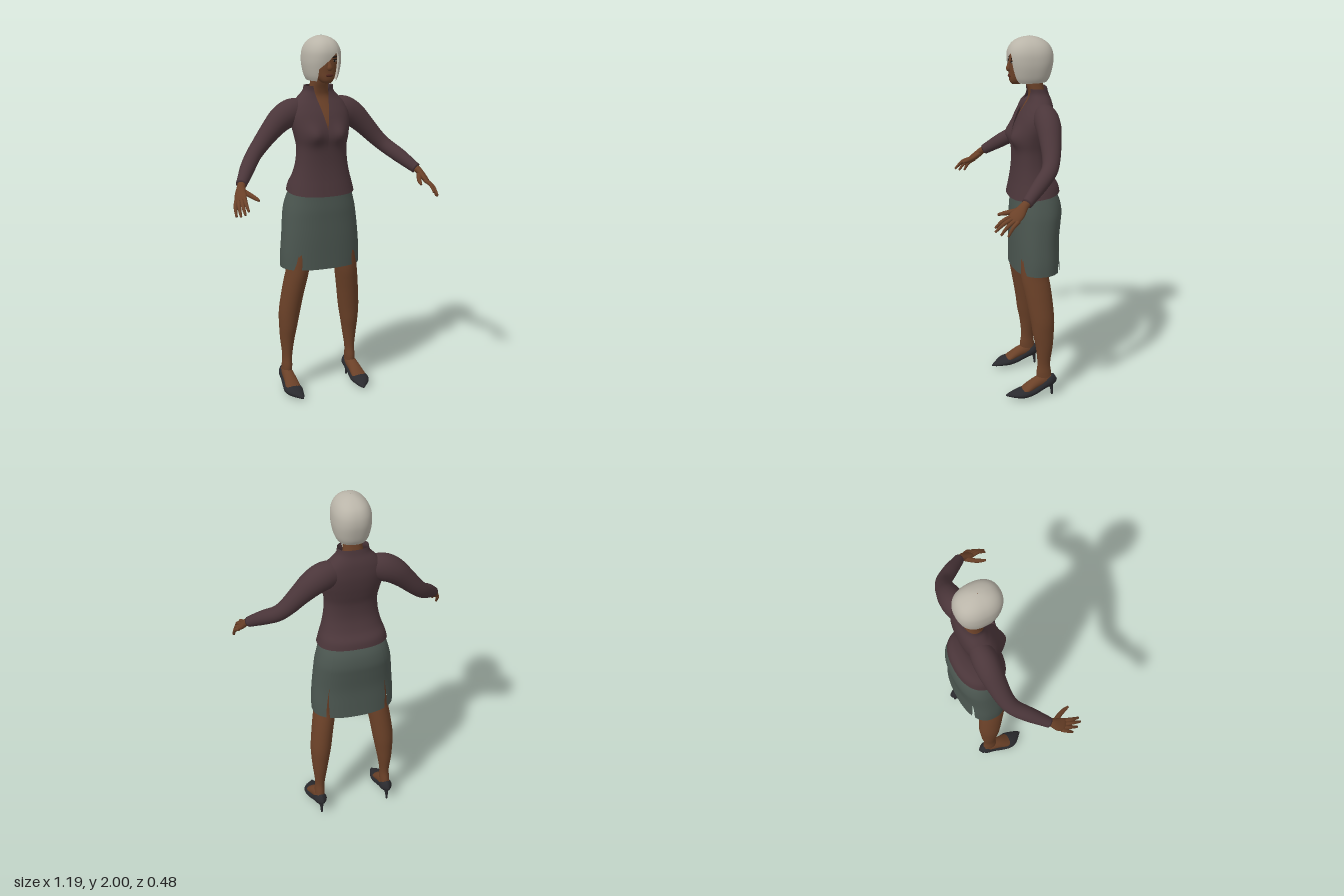
import * as THREE from 'three';

const material = (name, color, side = THREE.FrontSide) => {
  const m = new THREE.MeshStandardMaterial({ color, side });
  m.name = name;
  return m;
};

// Catmull-Rom refinement of rows of numbers
function smooth(rows, k = 4) {
  const out = [];
  for (let i = 0; i < rows.length - 1; i++) {
    const a = rows[Math.max(i - 1, 0)], b = rows[i], c = rows[i + 1], d = rows[Math.min(i + 2, rows.length - 1)];
    for (let s = 0; s < k; s++) {
      const t = s / k;
      out.push(b.map((v, j) => {
        const cubic = 3 * (v - c[j]) + d[j] - a[j];
        const square = 2 * a[j] - 5 * v + 4 * c[j] - d[j];
        return v + 0.5 * t * (c[j] - a[j] + t * (square + t * cubic));
      }));
    }
  }
  out.push(rows[rows.length - 1]);
  return out;
}

// Surface through rings of points; closed rings are capped at both ends
function skinRings(rings, closed) {
  const n = rings[0].length, pos = rings.flat().flatMap(p => [p.x, p.y, p.z]), index = [];
  const last = rings.length - 1;
  for (let i = 0; i < last; i++) {
    for (let j = 0; j < (closed ? n : n - 1); j++) {
      const a = i * n + j, b = i * n + (j + 1) % n;
      index.push(a, b, a + n, b, b + n, a + n);
    }
  }
  if (closed) {
    for (const [i, flip] of [[0, true], [last, false]]) {
      const c = rings[i].reduce((s, p) => s.add(p), new THREE.Vector3()).divideScalar(n);
      const ci = pos.length / 3;
      pos.push(c.x, c.y, c.z);
      for (let j = 0; j < n; j++) {
        const a = i * n + j, b = i * n + (j + 1) % n;
        index.push(...(flip ? [ci, b, a] : [ci, a, b]));
      }
    }
  }
  const g = new THREE.BufferGeometry();
  g.setAttribute('position', new THREE.Float32BufferAttribute(pos, 3));
  g.setIndex(index);
  g.computeVertexNormals();
  return g;
}

// Tapering limb; rows are [x, y, z, radius across, radius along ref]
function limb(rows, side = 1, ref = [0, 0, 1], n = 18) {
  const r = smooth(rows), at = i => new THREE.Vector3(r[i][0] * side, r[i][1], r[i][2]);
  const up = new THREE.Vector3(ref[0] * side, ref[1], ref[2]);
  return skinRings(r.map((row, i) => {
    const t = at(Math.min(i + 1, r.length - 1)).sub(at(Math.max(i - 1, 0))).normalize();
    const u = t.clone().cross(up).normalize(), v = t.clone().cross(u);
    return Array.from({ length: n }, (_, j) => {
      const a = j / n * Math.PI * 2;
      return at(i).addScaledVector(u, Math.cos(a) * row[3]).addScaledVector(v, Math.sin(a) * row[4]);
    });
  }), true);
}

// Horizontal sections [y, half width, z front, z back]; span gives the start and end angle of an open section
const ROUND = 0.85;
function sections(rows, { span, bend, n = 48 } = {}) {
  const rings = smooth(rows).map(([y, w, zf, zb]) => {
    const [a0, a1] = span ? span(y, w) : [0, Math.PI * 2];
    return Array.from({ length: n }, (_, j) => {
      const a = a0 + (a1 - a0) * j / (span ? n - 1 : n);
      const c = Math.cos(a), s = Math.sin(a);
      const x = w * Math.sign(c) * Math.abs(c) ** ROUND;
      const z = (zf + zb) / 2 - (zf - zb) / 2 * Math.sign(s) * Math.abs(s) ** ROUND;
      const p = new THREE.Vector3(x, y, z);
      if (bend) bend(p);
      return p;
    });
  });
  return skinRings(rings, !span);
}

// Angles that leave the front open between two x positions
function frontGap(x0, x1, w) {
  const d = x => Math.sign(x) * Math.asin(Math.min(Math.abs(x) / w, 0.9) ** (1 / ROUND));
  return [Math.PI * 1.5 + d(x1), Math.PI * 3.5 + d(x0)];
}

export function createModel() {
  const model = new THREE.Group();
  model.name = 'woman';
  const skin = material('brown skin', 0x6b4128);
  const jacketCloth = material('plum cloth', 0x4b363a, THREE.DoubleSide);
  const skirtCloth = material('grey green cloth', 0x4b5650, THREE.DoubleSide);
  const hairMat = material('silver hair', 0xbab5a9, THREE.DoubleSide);
  const leather = material('black leather', 0x2a2a2e);
  const lipMat = material('dark lips', 0x54291f);
  const eyeWhite = material('eye white', 0xa09a90);
  const dark = material('dark brown', 0x1a1311);
  const add = (name, geometry, mat, parent = model) => {
    const m = new THREE.Mesh(geometry, mat);
    m.name = name;
    parent.add(m);
    return m;
  };

  // Neck and chest under the open neckline
  add('neckAndChest', sections([
    [1.46, 0.1, 0.0, -0.14], [1.52, 0.1, 0.0, -0.15], [1.57, 0.1, -0.018, -0.16], [1.62, 0.085, -0.045, -0.16],
    [1.67, 0.062, -0.07, -0.157], [1.71, 0.052, -0.068, -0.152], [1.76, 0.047, -0.055, -0.145], [1.84, 0.045, -0.05, -0.14],
  ]), skin);

  // Fitted jacket with a narrow V neckline, bust and a hem that rises at the back
  add('jacket', sections([
    [1.155, 0.19, 0.045, -0.232], [1.2, 0.179, 0.035, -0.222], [1.25, 0.162, 0.025, -0.19], [1.32, 0.147, 0.018, -0.165],
    [1.4, 0.142, 0.018, -0.162], [1.46, 0.152, 0.025, -0.175], [1.52, 0.164, 0.015, -0.188], [1.58, 0.167, -0.006, -0.195],
    [1.63, 0.15, -0.033, -0.192], [1.665, 0.12, -0.053, -0.185], [1.7, 0.088, -0.063, -0.172], [1.73, 0.082, -0.06, -0.165],
  ], {
    n: 65,
    span: (y, w) => { const v = Math.max(0, y - 1.5) * 0.21; return frontGap(-v, v, w); },
    bend: p => {
      const bx = (Math.abs(p.x) - 0.075) / 0.045, by = (p.y - 1.475) / 0.05;
      if (p.z > -0.07) p.z += 0.026 * Math.exp(-bx * bx - by * by);
      p.y -= (p.z + 0.1) * 0.12 * Math.max(0, 1.25 - p.y) / 0.1;
    },
  }), jacketCloth);

  // Pencil skirt in two panels that part in slits at the back corners
  const skirtRows = [
    [0.727, 0.228, 0.03, -0.233], [0.8, 0.229, 0.03, -0.23], [0.9, 0.222, 0.03, -0.228], [1.0, 0.213, 0.028, -0.238],
    [1.06, 0.205, 0.027, -0.243], [1.12, 0.19, 0.022, -0.232], [1.17, 0.174, 0.018, -0.205], [1.2, 0.163, 0.01, -0.185],
  ];
  const SLIT = 0.84;
  const slit = y => Math.max(0, 0.92 - y) * 0.45;
  add('skirtFront', sections(skirtRows, { span: y => [Math.PI - SLIT + slit(y), Math.PI * 2 + SLIT - slit(y)] }), skirtCloth);
  add('skirtBack', sections(skirtRows, { n: 24, span: y => [SLIT + slit(y) * 0.4, Math.PI - SLIT - slit(y) * 0.4] }), skirtCloth);

  // Head with nose, lips, eyes and brows
  const head = new THREE.Group();
  head.name = 'head';
  model.add(head);
  add('face', sections([
    [1.752, 0.02, 0.022, -0.03], [1.765, 0.036, 0.032, -0.06], [1.785, 0.05, 0.036, -0.1], [1.81, 0.06, 0.036, -0.13],
    [1.84, 0.068, 0.037, -0.16], [1.88, 0.073, 0.034, -0.17], [1.93, 0.068, 0.024, -0.165], [1.965, 0.045, -0.01, -0.13],
  ]), skin, head);
  add('nose', limb([
    [0, 1.882, 0.03, 0.007, 0.006], [0, 1.855, 0.036, 0.009, 0.009], [0, 1.833, 0.041, 0.015, 0.012], [0, 1.822, 0.034, 0.009, 0.007],
  ]), skin, head);
  const blob = (name, mat, x, y, z, sx, sy, sz) => {
    const m = add(name, new THREE.SphereGeometry(1, 16, 10), mat, head);
    m.position.set(x, y, z);
    m.scale.set(sx, sy, sz);
    return m;
  };
  blob('lips', lipMat, 0, 1.795, 0.034, 0.021, 0.009, 0.008);
  for (const s of [1, -1]) {
    blob('eye', eyeWhite, s * 0.031, 1.87, 0.028, 0.013, 0.006, 0.005);
    blob('iris', dark, s * 0.031, 1.87, 0.031, 0.006, 0.006, 0.004);
    blob('eyelid', dark, s * 0.031, 1.876, 0.029, 0.015, 0.003, 0.006);
    blob('brow', dark, s * 0.032, 1.89, 0.028, 0.016, 0.004, 0.005).rotation.z = s * 0.12;
  }

  // Chin-length bob, parted on the left with a fringe swept to the right
  add('hair', sections([
    [1.762, 0.076, 0.015, -0.166], [1.79, 0.088, 0.028, -0.182], [1.84, 0.098, 0.04, -0.195], [1.88, 0.1, 0.046, -0.2],
    [1.92, 0.096, 0.045, -0.195], [1.955, 0.081, 0.03, -0.177], [1.98, 0.057, 0.003, -0.145], [1.995, 0.027, -0.035, -0.108],
    [2.0, 0.002, -0.073, -0.077],
  ], {
    n: 65,
    span: (y, w) => {
      const drop = Math.max(0, 1.92 - y), part = Math.min(0.045, w * 0.5);
      return frontGap(Math.max(-0.055, part - drop * 1.1), Math.min(0.056, part + drop * 0.4), w);
    },
  }), hairMat, head);

  for (const s of [1, -1]) {
    const label = s > 0 ? 'left' : 'right';

    // Sleeve, bent forward at the elbow
    add(label + 'Sleeve', limb([
      [0.08, 1.6, -0.125, 0.06, 0.05], [0.15, 1.588, -0.125, 0.075, 0.065], [0.215, 1.555, -0.125, 0.07, 0.065],
      [0.28, 1.495, -0.118, 0.057, 0.056], [0.345, 1.425, -0.105, 0.047, 0.047], [0.395, 1.375, -0.08, 0.042, 0.042],
      [0.45, 1.325, -0.02, 0.04, 0.039], [0.49, 1.285, 0.03, 0.034, 0.033], [0.519, 1.256, 0.065, 0.029, 0.028],
    ], s, undefined, 24), jacketCloth);

    // Hand with spread fingers
    const hand = new THREE.Group();
    hand.name = label + 'Hand';
    model.add(hand);
    add('palm', limb([
      [0.51, 1.265, 0.055, 0.021, 0.022], [0.527, 1.245, 0.083, 0.019, 0.024], [0.54, 1.217, 0.11, 0.017, 0.034],
      [0.547, 1.198, 0.133, 0.014, 0.035], [0.551, 1.188, 0.146, 0.009, 0.028],
    ], s, [0.6, -0.3, -0.6]), skin, hand);
    const tips = [[0.54, 1.15, 0.232], [0.56, 1.135, 0.236], [0.575, 1.121, 0.21], [0.587, 1.115, 0.176]];
    tips.forEach((tip, i) => {
      const root = [0.53 + i * 0.0125, 1.202 - i * 0.006, 0.145 - i * 0.009];
      const mid = root.map((v, k) => (v + tip[k]) / 2 + [0.006, 0.009, 0.004][k]);
      add('finger', limb([[...root, 0.011, 0.011], [...mid, 0.01, 0.01], [...tip, 0.006, 0.006]], s, [1, 0, 0], 10), skin, hand);
    });
    add('thumb', limb([
      [0.525, 1.232, 0.095, 0.016, 0.014], [0.497, 1.213, 0.14, 0.013, 0.013],
      [0.482, 1.203, 0.175, 0.011, 0.011], [0.474, 1.196, 0.205, 0.006, 0.006],
    ], s, [0, 1, 0], 10), skin, hand);

    // Leg from hip to ankle, and foot
    add(label + 'Leg', limb([
      [0.12, 1.0, -0.1, 0.075, 0.09], [0.13, 0.85, -0.08, 0.072, 0.088], [0.146, 0.72, -0.072, 0.062, 0.078],
      [0.159, 0.64, -0.083, 0.061, 0.075], [0.17, 0.57, -0.094, 0.06, 0.072], [0.184, 0.46, -0.108, 0.058, 0.066],
      [0.19, 0.38, -0.112, 0.05, 0.059], [0.194, 0.3, -0.117, 0.04, 0.048], [0.196, 0.2, -0.115, 0.027, 0.036],
      [0.198, 0.14, -0.115, 0.028, 0.042], [0.2, 0.09, -0.12, 0.027, 0.043],
    ], s, undefined, 24), skin);
    add(label + 'Foot', limb([
      [0.2, 0.108, -0.162, 0.02, 0.02], [0.2, 0.1, -0.12, 0.03, 0.035], [0.203, 0.078, -0.06, 0.035, 0.031],
      [0.206, 0.048, -0.005, 0.042, 0.02], [0.205, 0.032, 0.03, 0.03, 0.01],
    ], s, [0, 1, 0]), skin);

    // Pointed shoe on a thin heel
    const shoe = new THREE.Group();
    shoe.name = label + 'Shoe';
    model.add(shoe);
    add('shoeBody', limb([
      [0.188, 0.014, 0.1, 0.003, 0.005], [0.193, 0.02, 0.07, 0.025, 0.015], [0.203, 0.029, 0.03, 0.047, 0.024],
      [0.207, 0.034, -0.005, 0.052, 0.028], [0.206, 0.042, -0.05, 0.044, 0.026], [0.203, 0.066, -0.1, 0.037, 0.028],
      [0.2, 0.09, -0.145, 0.036, 0.034], [0.2, 0.103, -0.17, 0.022, 0.03], [0.2, 0.11, -0.182, 0.006, 0.018],
    ], s, [0, 1, 0]), leather, shoe);
    add('shoeHeel', limb([
      [0.2, 0.09, -0.148, 0.024, 0.022], [0.2, 0.045, -0.16, 0.01, 0.01], [0.2, 0, -0.163, 0.006, 0.006],
    ], s, undefined, 12), leather, shoe);
  }
  return model;
}
